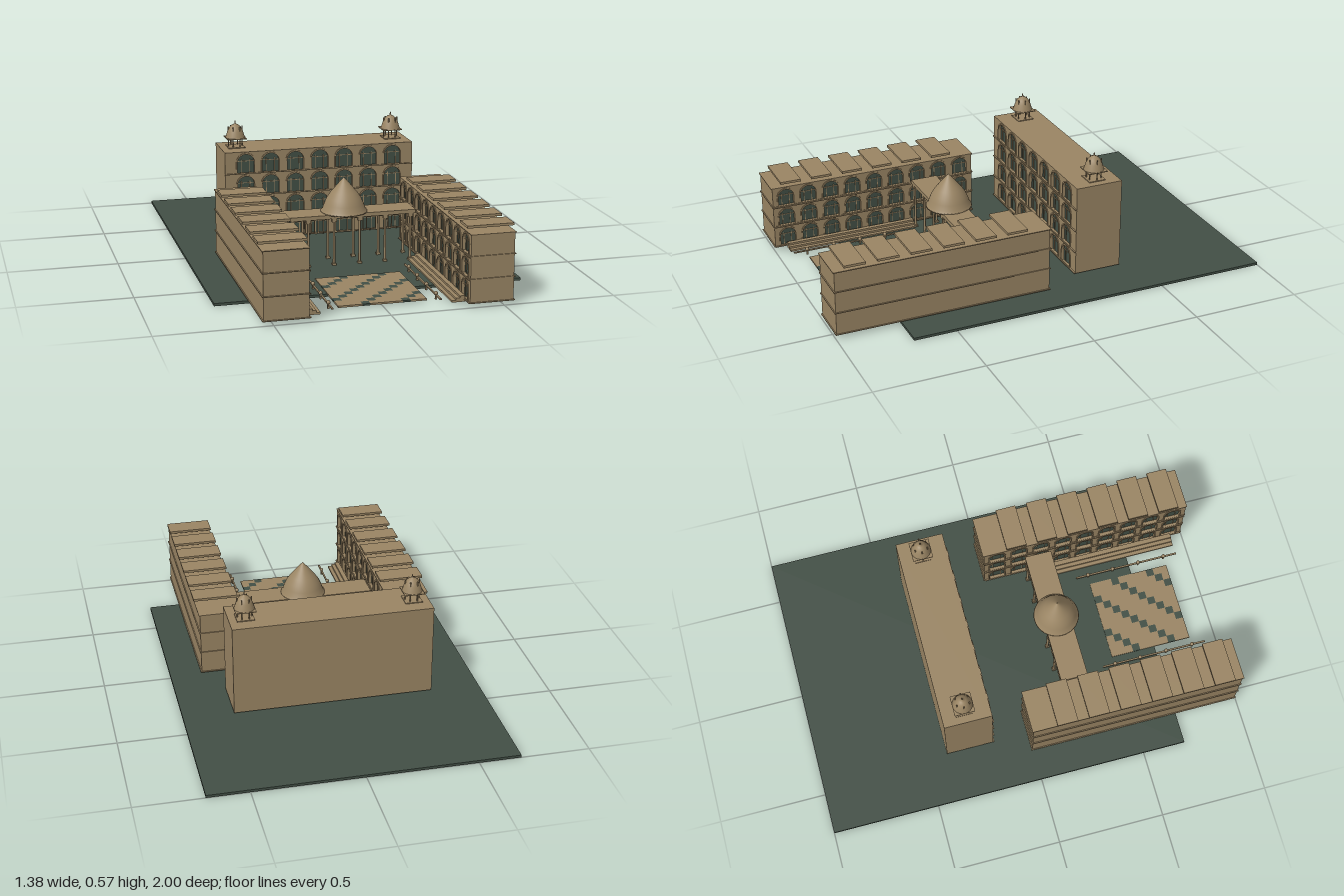
import * as THREE from 'three';

const stone = new THREE.MeshStandardMaterial({ color: 0x9a8564 });
stone.name = 'sandstone';
const green = new THREE.MeshStandardMaterial({ color: 0x424f45 });
green.name = 'dark green';

function add(parent, name, geo, mat, x = 0, y = 0, z = 0) {
  const m = new THREE.Mesh(geo, mat);
  m.name = name;
  m.position.set(x, y, z);
  parent.add(m);
  return m;
}

// Box given by its min and max on each axis
function box(parent, name, mat, x0, x1, y0, y1, z0, z1) {
  return add(parent, name, new THREE.BoxGeometry(x1 - x0, y1 - y0, z1 - z0), mat,
    (x0 + x1) / 2, (y0 + y1) / 2, (z0 + z1) / 2);
}

function group(parent, name, x = 0, y = 0, z = 0) {
  const g = new THREE.Group();
  g.name = name;
  g.position.set(x, y, z);
  parent.add(g);
  return g;
}

// Pointed arch outline, w wide and h tall, standing on (x, y)
function arch(path, x, y, w, h) {
  const r = w / 2, s = h - r * 0.95;
  path.moveTo(x - r, y);
  path.lineTo(x + r, y);
  path.lineTo(x + r, y + s);
  path.quadraticCurveTo(x + r * 0.95, y + h * 0.93, x, y + h);
  path.quadraticCurveTo(x - r * 0.95, y + h * 0.93, x - r, y + s);
  path.lineTo(x - r, y);
  return path;
}

const extrude = (shape, depth) =>
  new THREE.ExtrudeGeometry(shape, { depth, bevelEnabled: false, curveSegments: 6 });

// Arcade wall facing +z: pierced panel, arch trims, glazing, bars and ledges
function arcade(parent, width, cols, pitch, rows, floor) {
  const g = group(parent, 'arcade');
  const H = rows * floor, w = pitch * 0.68, h = floor * 0.86;
  const wall = new THREE.Shape();
  wall.moveTo(-width / 2, 0);
  wall.lineTo(width / 2, 0);
  wall.lineTo(width / 2, H);
  wall.lineTo(-width / 2, H);
  wall.closePath();
  const trim = arch(new THREE.Shape(), 0, 0, w + 0.012, h + 0.007);
  trim.holes.push(arch(new THREE.Path(), 0, 0.003, w, h - 0.003));
  const trimGeo = extrude(trim, 0.004);
  box(g, 'glazing', green, -width / 2 + 0.01, width / 2 - 0.01, 0.003, H - 0.003, 0, 0.003);
  for (let r = 0; r < rows; r++) {
    const y = r * floor + 0.004;
    for (let c = 0; c < cols; c++) {
      const x = (c - (cols - 1) / 2) * pitch;
      wall.holes.push(arch(new THREE.Path(), x, y, w, h));
      add(g, 'archTrim', trimGeo, stone, x, y, 0.014);
      for (const d of [-0.25, 0.25])
        box(g, 'windowBar', stone, x + d * w - 0.0015, x + d * w + 0.0015, y, y + h * 0.72, 0.003, 0.006);
      box(g, 'windowTransom', stone, x - w / 2, x + w / 2, y + h * 0.6, y + h * 0.6 + 0.003, 0.003, 0.006);
    }
    box(g, 'floorLedge', stone, -width / 2, width / 2, y - 0.004, y, 0.014, 0.021);
  }
  add(g, 'arcadeWall', extrude(wall, 0.014), stone);
  return g;
}

// Open roof kiosk with a bell dome
function kiosk(parent, x) {
  const k = group(parent, 'roofKiosk', x, 0.445, -0.295);
  box(k, 'kioskPlinth', stone, -0.04, 0.04, 0, 0.004, -0.04, 0.04);
  box(k, 'kioskEave', stone, -0.047, 0.047, 0.043, 0.047, -0.047, 0.047);
  for (let i = 0; i < 6; i++) {
    const a = (i * Math.PI) / 3;
    add(k, 'kioskPost', new THREE.CylinderGeometry(0.003, 0.003, 0.1, 8), stone,
      0.033 * Math.cos(a), 0.05, 0.033 * Math.sin(a));
  }
  const pts = [[0.047, 0.046], [0.044, 0.054], [0.037, 0.077], [0.027, 0.097], [0.014, 0.108],
    [0.004, 0.112], [0.002, 0.126], [0, 0.128]].map(p => new THREE.Vector2(...p));
  add(k, 'kioskDome', new THREE.LatheGeometry(pts, 24), stone).material = stone;
}

export function createModel() {
  const model = new THREE.Group();
  model.name = 'courtyardPalace';

  // Ground
  box(model, 'groundSlab', green, -0.69, 0.69, 0, 0.012, -1, 0.7);

  // Rear block
  const rear = group(model, 'rearBlock');
  box(rear, 'rearBody', stone, -0.46, 0.46, 0.02, 0.445, -0.4, -0.19);
  arcade(rear, 0.92, 7, 0.12, 4, 0.10625).position.set(0, 0.02, -0.19);
  for (const x of [-0.385, 0.385]) kiosk(rear, x);

  // Side wings, steps and railings, mirrored about x = 0
  for (const s of [-1, 1]) {
    const mx = (p, n, m, x0, x1, ...r) =>
      box(p, n, m, Math.min(s * x0, s * x1), Math.max(s * x0, s * x1), ...r);
    const wing = group(model, s > 0 ? 'leftWing' : 'rightWing');
    mx(wing, 'wingBody', stone, 0.362, 0.542, 0.016, 0.318, -0.005, 0.995);
    const a = arcade(wing, 1, 9, 0.109, 3, 0.1);
    a.position.set(s * 0.362, 0.018, 0.495);
    a.rotation.y = -s * Math.PI / 2;
    for (const y of [0.018, 0.122, 0.222, 0.316])
      mx(wing, 'stringCourse', stone, 0.346, 0.547, y, y + 0.004, -0.01, 1);
    for (let i = 0; i < 6; i++)
      mx(wing, 'roofSlab', stone, 0.345, 0.553, 0.335, 0.346, 0.106 + i * 0.15, 0.203 + i * 0.15);

    for (let i = 0; i < 3; i++)
      mx(model, 'sideStep', stone, 0.287 + i * 0.018, 0.345, 0.01 + i * 0.009, 0.019 + i * 0.009, 0.31, 0.94);

    const rail = group(model, 'railing', s * 0.237, 0, 0);
    box(rail, 'railBar', stone, -0.004, 0.004, 0.026, 0.032, 0.43, 0.94);
    for (const z of [0.49, 0.615, 0.745, 0.875]) {
      box(rail, 'railPost', stone, -0.004, 0.004, 0.008, 0.03, z - 0.004, z + 0.004);
      add(rail, 'railBall', new THREE.SphereGeometry(0.009, 12, 8), stone, 0, 0.036, z);
    }
  }

  // Pavilion: canopy on slim columns with hanging lattice frames and a bell dome
  const pav = group(model, 'pavilion');
  box(pav, 'canopy', stone, -0.322, 0.322, 0.232, 0.25, 0.19, 0.318);
  const columnGeo = new THREE.CylinderGeometry(0.005, 0.006, 0.222, 10);
  for (const z of [0.2, 0.308])
    for (let i = 0; i < 6; i++) {
      const x = -0.3 + i * 0.12;
      add(pav, 'column', columnGeo, stone, x, 0.122, z);
      box(pav, 'columnBase', stone, x - 0.009, x + 0.009, 0.012, 0.022, z - 0.009, z + 0.009);
      box(pav, 'columnCapital', stone, x - 0.011, x + 0.011, 0.216, 0.232, z - 0.009, z + 0.009);
    }
  const frame = new THREE.Shape([[-0.024, 0], [0.024, 0], [0.024, 0.066], [-0.024, 0.066]]
    .map(p => new THREE.Vector2(...p)));
  frame.holes.push(new THREE.Path([[-0.019, 0.005], [-0.019, 0.061], [0.019, 0.061], [0.019, 0.005]]
    .map(p => new THREE.Vector2(...p))));
  for (const x of [0.085, 0.145, 0.205, 0.265])
    for (const s of [-1, 1]) add(pav, 'latticeFrame', extrude(frame, 0.005), stone, s * x, 0.134, 0.198);
  const bell = [[0, 0.248], [0.107, 0.248], [0.105, 0.254], [0.098, 0.262], [0.09, 0.285], [0.078, 0.312],
    [0.06, 0.338], [0.038, 0.364], [0.018, 0.388], [0.005, 0.402], [0, 0.408]].map(p => new THREE.Vector2(...p));
  add(pav, 'bellDome', new THREE.LatheGeometry(bell, 40), stone, 0, 0, 0.255);

  // Paved court with diagonal dark tiles
  const court = group(model, 'pavedCourt');
  const t = 0.39 / 11;
  for (let i = 0; i < 11; i++)
    for (let j = 0; j < 11; j++) {
      const x = -0.195 + i * t, z = 0.488 + j * t;
      box(court, 'paver', (i + j) % 5 === 3 ? green : stone, x, x + t, 0.008, 0.016, z, z + t);
    }

  return model;
}
